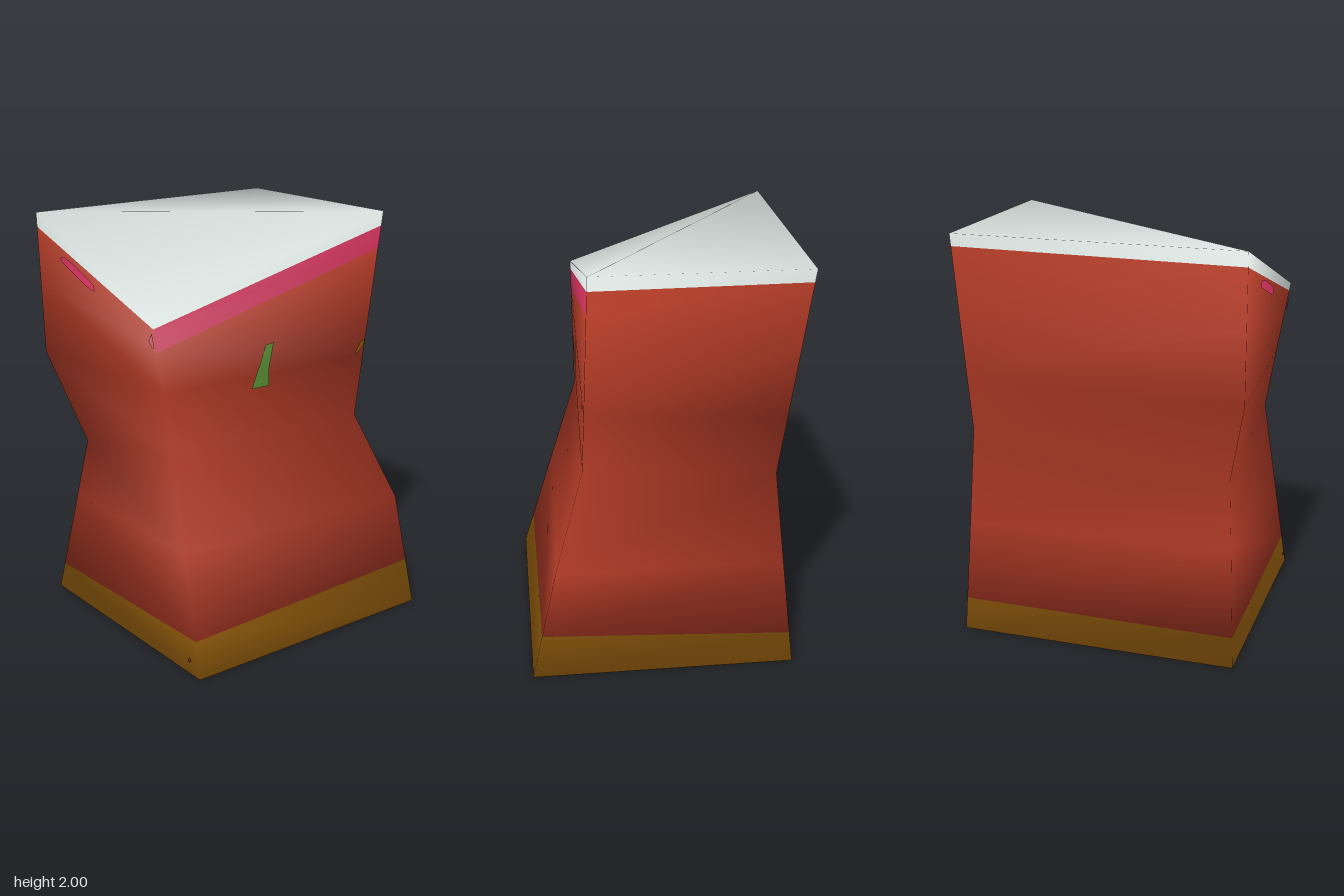
import * as THREE from 'three';

// Corner columns, bottom to top: front left, front right, back right, back left
// as seen facing the front; each point is [x, y, z].
const COLUMNS = [
  [[-0.62, 0, 0.67], [-0.49, 0.55, 0.62], [-0.42, 0.86, 0.59], [-0.62, 1.3, 0.695], [-0.65, 2, 0.7]],
  [[0.65, 0, 0.67], [0.485, 0.55, 0.626], [0.35, 1.0, 0.59], [0.35, 1.3, 0.64], [0.35, 1.65, 0.7]],
  [[0.65, 0, -0.7], [0.525, 0.55, -0.67], [0.38, 0.99, -0.5], [0.37, 1.3, -0.555], [0.35, 2, -0.68]],
  [[-0.62, 0, -0.7], [-0.56, 0.55, -0.68], [-0.51, 1.02, -0.665], [-0.55, 1.3, -0.67], [-0.65, 2, -0.68]],
].map((col) => col.map((p) => new THREE.Vector3(...p)));

// Paint line heights on each corner
const TRIM_TOP = [0.14, 0.17, 0.22, 0.16];
const STRIPE_BOTTOM = [1.65, 1.5, 1.82, 1.65];
const CAP_BOTTOM = [1.93, 1.61, 1.93, 1.94];

const TOP = [[0, 1, 2], [0, 2, 3]];
const BOTTOM = [[0, 2, 1], [0, 3, 2]];

// Two triangles between corners a, b (low) and c, d (high, above b and a)
function quad(side, a, b, c, d) {
  return side < 2 ? [[a, b, d], [b, c, d]] : [[a, b, c], [a, c, d]];
}

// Smooth normals shared over the whole twisted block
function columnNormals() {
  const positions = [], index = [];
  for (let r = 0; r < 5; r++) COLUMNS.forEach((col) => positions.push(...col[r].toArray()));
  for (let r = 0; r < 4; r++) {
    for (let s = 0; s < 4; s++) {
      const n = (s + 1) % 4, o = r * 4;
      index.push(...quad(s, o + s, o + n, o + 4 + n, o + 4 + s).flat());
    }
  }
  index.push(...BOTTOM.flat(), ...TOP.flat().map((i) => i + 16));
  const g = new THREE.BufferGeometry();
  g.setAttribute('position', new THREE.Float32BufferAttribute(positions, 3));
  g.setIndex(index);
  g.computeVertexNormals();
  return COLUMNS.map((_, c) => [0, 1, 2, 3, 4].map(
    (r) => new THREE.Vector3().fromBufferAttribute(g.attributes.normal, r * 4 + c)));
}

export function createModel() {
  const group = new THREE.Group();
  const normals = columnNormals();
  const material = (name, color) => {
    const m = new THREE.MeshStandardMaterial({ color });
    m.name = name;
    return m;
  };
  const red = material('brick red', 0xb03a26);
  const gold = material('ochre', 0xb87512);
  const white = material('pale grey', 0xdce5e2);
  const pink = material('crimson pink', 0xc22e55);
  const green = material('leaf green', 0x5a8f35);

  // Point and normal on a corner column at height y
  const sample = (c, y) => {
    const col = COLUMNS[c];
    let r = 0;
    while (r < 3 && y > col[r + 1].y) r++;
    const t = THREE.MathUtils.clamp((y - col[r].y) / (col[r + 1].y - col[r].y), 0, 1);
    return {
      p: col[r].clone().lerp(col[r + 1], t),
      n: normals[c][r].clone().lerp(normals[c][r + 1], t).normalize(),
    };
  };

  const addMesh = (name, triangles, mat) => {
    const pts = triangles.flat();
    const g = new THREE.BufferGeometry();
    g.setAttribute('position', new THREE.Float32BufferAttribute(pts.flatMap((v) => v.p.toArray()), 3));
    g.setAttribute('normal', new THREE.Float32BufferAttribute(pts.flatMap((v) => v.n.toArray()), 3));
    const mesh = new THREE.Mesh(g, mat);
    mesh.name = name;
    group.add(mesh);
  };

  // Rows of samples from the floor up, cut at the paint lines
  const rows = [0, 1, 2, 3].map((c) => [
    0, TRIM_TOP[c], COLUMNS[c][1].y, COLUMNS[c][2].y, COLUMNS[c][3].y,
    STRIPE_BOTTOM[c], CAP_BOTTOM[c], COLUMNS[c][4].y,
  ].map((y) => sample(c, y)));

  const body = [], trim = [], stripe = [], cap = [];
  for (let s = 0; s < 4; s++) {
    const a = rows[s], b = rows[(s + 1) % 4];
    for (let r = 0; r < 7; r++) {
      let part = body;
      if (r === 0) part = trim;
      if (r === 5 && s === 1) part = stripe;
      if (r === 6) part = cap;
      part.push(...quad(s, a[r], b[r], b[r + 1], a[r + 1]));
    }
  }
  TOP.forEach((t) => cap.push(t.map((c) => rows[c][7])));
  BOTTOM.forEach((t) => body.push(t.map((c) => rows[c][0])));
  addMesh('body', body, red);
  addMesh('baseTrim', trim, gold);
  addMesh('sideStripe', stripe, pink);
  addMesh('slantedCap', cap, white);

  // Thin paint marks laid on a side; outline is [across, y], across = x or -z
  const addMark = (name, side, outline, mat) => {
    const across = (p) => (side === 0 ? p.x : -p.z);
    const g = new THREE.ShapeGeometry(new THREE.Shape(outline.map((p) => new THREE.Vector2(...p))));
    const pos = g.attributes.position;
    const points = [];
    for (let i = 0; i < pos.count; i++) {
      const a = sample(side, pos.getY(i)), b = sample(side + 1, pos.getY(i));
      const t = (pos.getX(i) - across(a.p)) / (across(b.p) - across(a.p));
      const n = a.n.lerp(b.n, t).normalize();
      const p = a.p.lerp(b.p, t);
      if (side === 0) p.z += 0.008;
      else p.x += 0.008;
      p.y = pos.getY(i);
      points.push({ p, n });
    }
    const idx = Array.from(g.index.array);
    const triangles = [];
    for (let i = 0; i < idx.length; i += 3) triangles.push(idx.slice(i, i + 3).map((k) => points[k]));
    addMesh(name, triangles, mat);
  };
  addMark('frontSmear', 0, [[-0.42, 1.81], [-0.4, 1.79], [-0.15, 1.7], [-0.11, 1.7],
    [-0.12, 1.73], [-0.3, 1.8], [-0.38, 1.82]], pink);
  addMark('cornerSmear', 0, [[0.31, 1.55], [0.325, 1.52], [0.345, 1.52], [0.345, 1.59]], pink);
  addMark('frontSpot', 0, [[0.555, 0.07], [0.57, 0.056], [0.585, 0.07], [0.57, 0.084]], red);
  addMark('greenMark', 1, [[-0.15, 1.24], [-0.05, 1.24], [-0.05, 1.32], [-0.03, 1.41],
    [-0.02, 1.45], [-0.07, 1.44], [-0.1, 1.36], [-0.14, 1.27]], green);
  addMark('ochreMark', 1, [[0.49, 1.31], [0.51, 1.31], [0.555, 1.35], [0.555, 1.375], [0.53, 1.365]], gold);

  return group;
}
